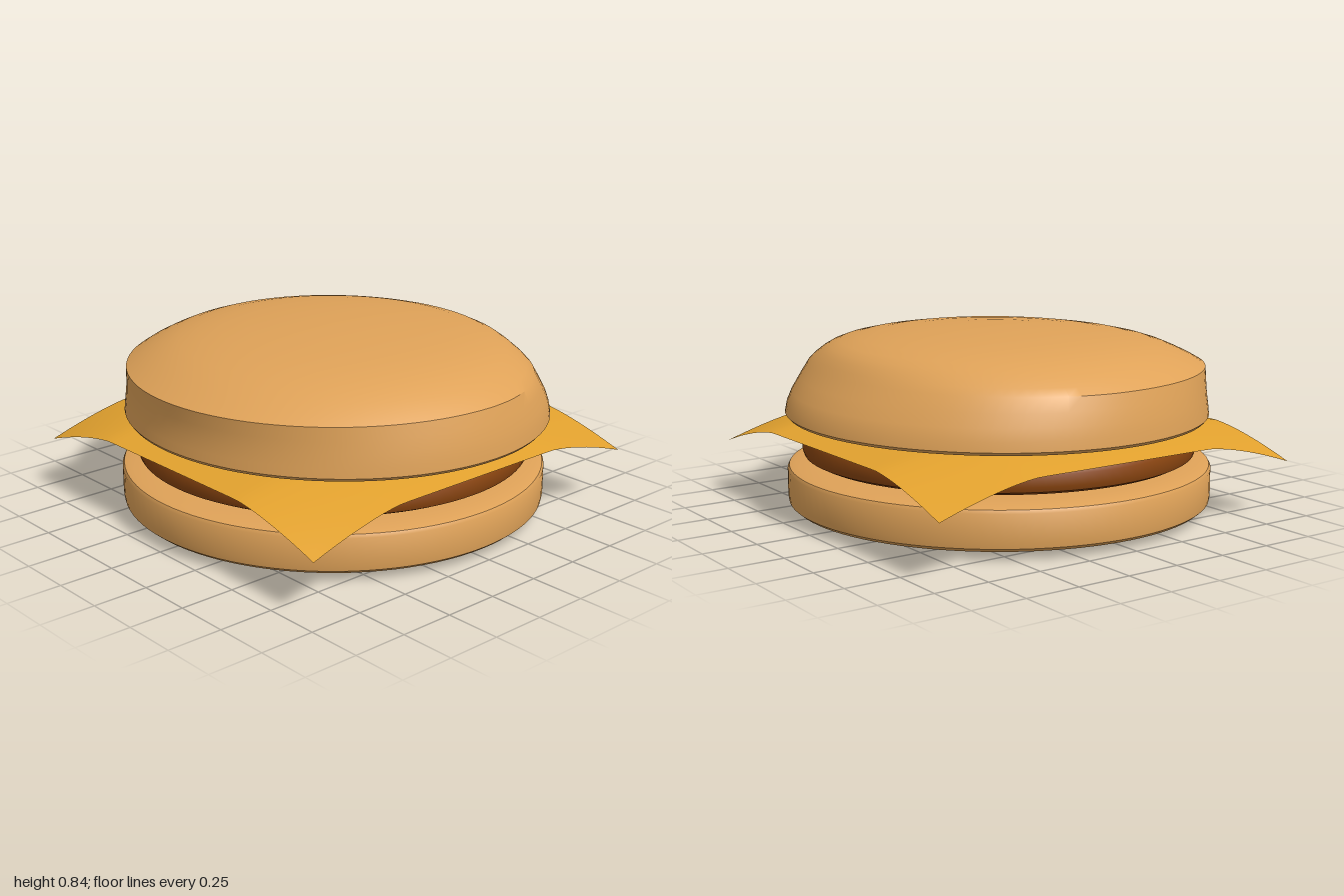
import * as THREE from 'three';
import { toCreasedNormals } from 'three/addons/utils/BufferGeometryUtils.js';

const SEGMENTS = 96;

function addPart(group, name, geometry, color, side = THREE.FrontSide) {
  const mesh = new THREE.Mesh(geometry, new THREE.MeshStandardMaterial({ color, side }));
  mesh.name = name;
  group.add(mesh);
  return mesh;
}

// Turned part from [radius, y] pairs, bottom to top
function turned(profile) {
  const geometry = new THREE.LatheGeometry(profile.map(([r, y]) => new THREE.Vector2(r, y)), SEGMENTS);
  return toCreasedNormals(geometry, 0.7);
}

// Lopsided bun lofted through rings of [y, left edge, right edge, half depth]
function loftBun(rings) {
  const positions = [], index = [];
  for (const [y, x0, x1, depth] of rings) {
    const middle = 0.03 * Math.min(1, depth);
    for (let i = 0; i < SEGMENTS; i++) {
      const a = (i / SEGMENTS) * Math.PI * 2, c = Math.cos(a);
      positions.push(middle + c * (c > 0 ? x1 - middle : middle - x0), y, depth * Math.sin(a));
    }
  }
  for (let r = 0; r < rings.length - 1; r++) {
    for (let i = 0; i < SEGMENTS; i++) {
      const a = r * SEGMENTS + i, b = r * SEGMENTS + (i + 1) % SEGMENTS;
      index.push(a, a + SEGMENTS, b, b, a + SEGMENTS, b + SEGMENTS);
    }
  }
  const geometry = new THREE.BufferGeometry();
  geometry.setAttribute('position', new THREE.Float32BufferAttribute(positions, 3));
  geometry.setIndex(index);
  return toCreasedNormals(geometry, 0.6);
}

// Square sheet: flat middle, sagging sides and lower corners
function cheeseSheet() {
  const geometry = new THREE.PlaneGeometry(1.87, 1.87, 40, 40).rotateX(-Math.PI / 2);
  const p = geometry.attributes.position;
  const sag = (u) => Math.pow(Math.max(0, (Math.abs(u) - 0.45) / 0.485), 1.45);
  for (let i = 0; i < p.count; i++) {
    const sx = sag(p.getX(i)), sz = sag(p.getZ(i));
    p.setY(i, 0.44 - 0.075 * (sx + sz) - 0.04 * sx * sz);
  }
  geometry.computeVertexNormals();
  return geometry;
}

export function createModel() {
  const group = new THREE.Group();
  group.name = 'cheeseburger';
  const bread = 0xdfa258;

  // Bottom bun: thick disc with rounded rims
  addPart(group, 'bottomBun', turned([
    [0, 0], [0.5, 0.003], [0.8, 0.013], [0.9, 0.023], [0.955, 0.036], [0.974, 0.052],
    [0.978, 0.08], [0.978, 0.2], [0.97, 0.215], [0.94, 0.224], [0.85, 0.23], [0.5, 0.234], [0, 0.235],
  ]), bread);

  // Patty: slightly domed disc
  addPart(group, 'patty', turned([
    [0, 0.23], [0.6, 0.234], [0.8, 0.243], [0.87, 0.253], [0.9, 0.268], [0.908, 0.29],
    [0.908, 0.34], [0.9, 0.356], [0.86, 0.368], [0.7, 0.39], [0.4, 0.41], [0, 0.415],
  ]), 0x8a4510);

  // Cheese slice
  addPart(group, 'cheeseSlice', cheeseSheet(), 0xe3a22e, THREE.DoubleSide);

  // Top bun: upright wall on one side, long slope on the other
  addPart(group, 'topBun', loftBun([
    [0.42, 0, 0, 0], [0.422, -0.4, 0.4, 0.4], [0.428, -0.8, 0.8, 0.83], [0.435, -0.905, 0.925, 0.95],
    [0.443, -0.935, 0.962, 0.988], [0.457, -0.945, 0.975, 1.0], [0.5, -0.94, 0.965, 0.996],
    [0.55, -0.934, 0.938, 0.988], [0.61, -0.936, 0.893, 0.974], [0.67, -0.942, 0.845, 0.957],
    [0.7, -0.885, 0.822, 0.915], [0.73, -0.82, 0.795, 0.86], [0.755, -0.76, 0.765, 0.805],
    [0.777, -0.69, 0.72, 0.74], [0.797, -0.6, 0.645, 0.65], [0.812, -0.5, 0.55, 0.55],
    [0.824, -0.38, 0.43, 0.42], [0.834, -0.23, 0.26, 0.25], [0.84, 0, 0, 0],
  ]), bread);

  return group;
}
